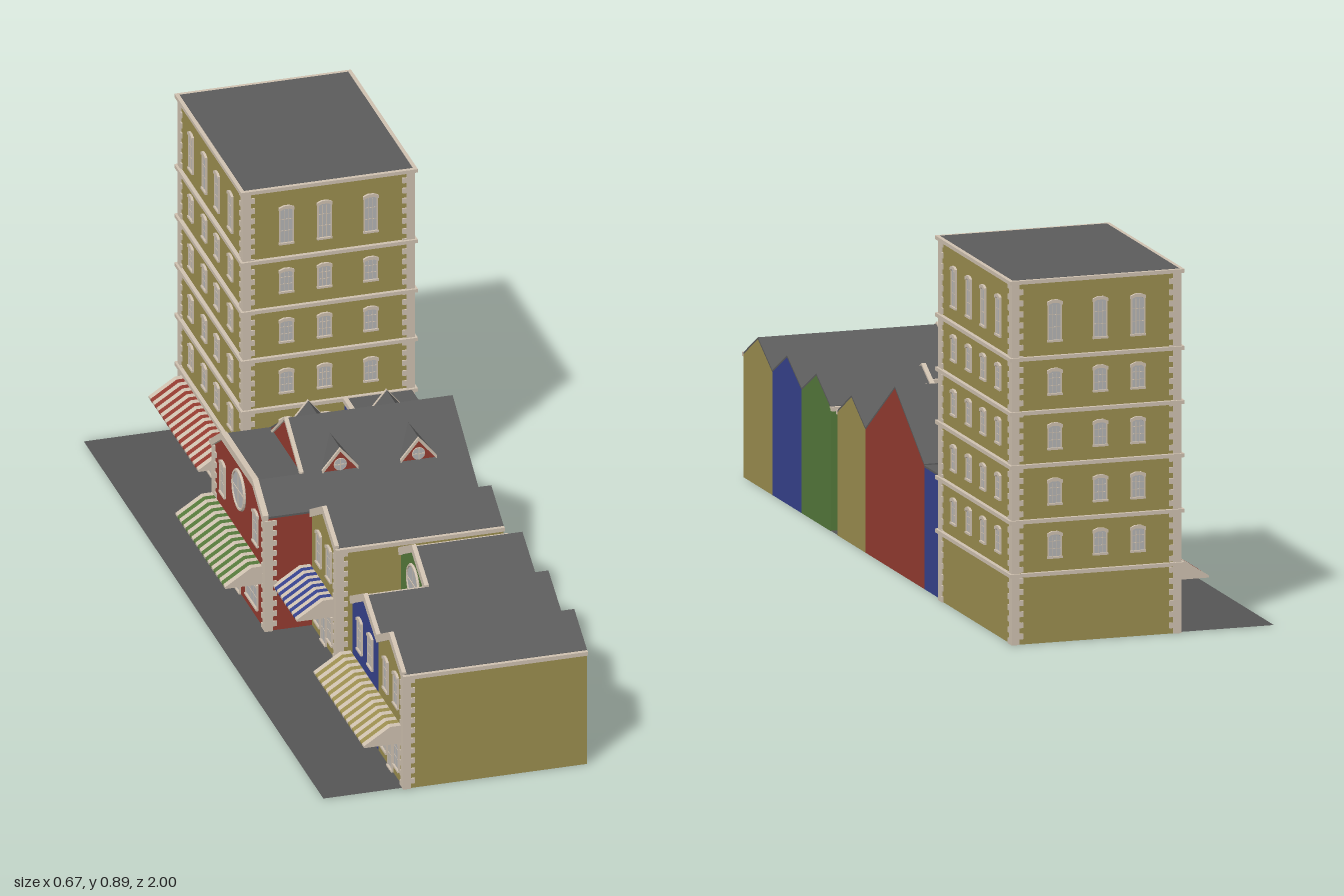
import * as THREE from 'three';

const mat = (color) => new THREE.MeshStandardMaterial({ color, flatShading: true });
const M = {
  yellow: mat(0x9b8e4f), red: mat(0x943b30), blue: mat(0x36428c), green: mat(0x55793b),
  cream: mat(0xcfc1b0), roof: mat(0x5c5c5c), glass: mat(0xb4b4b4), ground: mat(0x555555),
};
M.ground.side = THREE.DoubleSide;

const add = (parent, name, geometry, material) => {
  const mesh = new THREE.Mesh(geometry, material);
  mesh.name = name;
  parent.add(mesh);
  return mesh;
};

// box given by its two corners
function block(parent, name, material, [x0, y0, z0], [x1, y1, z1]) {
  const g = new THREE.BoxGeometry(x1 - x0, y1 - y0, z1 - z0);
  g.translate((x0 + x1) / 2, (y0 + y1) / 2, (z0 + z1) / 2);
  return add(parent, name, g, material);
}
const polygon = (pts) => new THREE.Shape(pts.map(([x, y]) => new THREE.Vector2(x, y)));
const extrude = (shape, depth) =>
  new THREE.ExtrudeGeometry(shape, { depth, bevelEnabled: false, curveSegments: 8 });

// profile in (z, y) swept from x0 to x1
function prism(parent, name, material, pts, x0, x1) {
  const g = extrude(polygon(pts.map(([z, y]) => [-z, y])), x1 - x0);
  g.rotateY(Math.PI / 2).translate(x0, 0, 0);
  return add(parent, name, g, material);
}
// strip that follows a line of points, from lo to hi above it
const strip = (pts, lo, hi) => [
  ...pts.map(([a, y]) => [a, y + hi]),
  ...pts.slice().reverse().map(([a, y]) => [a, y + lo]),
];

// opening with a flat arch, facing +z, standing on the local origin
function archShape(w, h, rise) {
  const s = new THREE.Shape();
  s.moveTo(-w / 2, 0);
  s.lineTo(w / 2, 0);
  s.lineTo(w / 2, h - rise);
  s.quadraticCurveTo(0, h + rise, -w / 2, h - rise);
  return s;
}
function archedWindow(w, h, name = 'window') {
  const g = new THREE.Group(), rise = w * 0.22;
  g.name = name;
  add(g, 'pane', extrude(archShape(w, h, rise), 0.001), M.glass);
  const rim = archShape(w + 0.006, h + 0.003, rise);
  rim.holes.push(archShape(w, h, rise));
  add(g, 'frame', extrude(rim, 0.004), M.cream);
  for (const t of [-1, 1]) block(g, 'glazingBar', M.cream, [t * w / 6 - 0.0006, 0, 0], [t * w / 6 + 0.0006, h - rise, 0.002]);
  for (const t of [0.33, 0.66]) block(g, 'glazingBar', M.cream, [-w / 2, h * t, 0], [w / 2, h * t + 0.0012, 0.002]);
  block(g, 'sill', M.cream, [-w / 2 - 0.004, -0.005, 0], [w / 2 + 0.004, 0, 0.006]);
  const e = w / 2 + 0.004;
  const hood = strip([[-e, h - rise], [-w / 4, h - rise * 0.25], [w / 4, h - rise * 0.25], [e, h - rise]], 0, 0.008);
  add(g, 'hood', extrude(polygon(hood.reverse()), 0.006), M.cream);
  return g;
}
function roundWindow(r) {
  const g = new THREE.Group();
  g.name = 'roundWindow';
  add(g, 'pane', new THREE.CylinderGeometry(r, r, 0.003, 24).rotateX(Math.PI / 2), M.glass);
  add(g, 'ring', new THREE.TorusGeometry(r, r * 0.1, 6, 24), M.cream);
  block(g, 'glazingBar', M.cream, [-r, -0.0012, 0], [r, 0.0012, 0.003]);
  block(g, 'glazingBar', M.cream, [-0.0012, -r, 0], [0.0012, r, 0.003]);
  return g;
}
function place(parent, part, x, y, z, turn) {
  part.position.set(x, y, z);
  part.rotation.y = turn;
  parent.add(part);
}
const STREET = -Math.PI / 2, REAR = Math.PI / 2;

// alternating corner stones; sx and sz point from the corner into the walls
function quoins(parent, x, z, sx, sz, height) {
  const n = Math.round(height / 0.0135), step = height / n, out = 0.004;
  for (let i = 0; i < n; i++) {
    const lx = i % 2 ? 0.03 : 0.02, lz = i % 2 ? 0.02 : 0.03;
    const stone = add(parent, 'cornerStone', new THREE.BoxGeometry(lx, step, lz), M.cream);
    stone.position.set(x + sx * (lx / 2 - out), step * (i + 0.5), z + sz * (lz / 2 - out));
  }
}

// striped shop awning on a street wall at x
function awning(parent, x, z0, z1, material) {
  const g = new THREE.Group();
  g.name = 'awning';
  parent.add(g);
  const section = polygon([[0, 0.165], [-0.027, 0.165], [-0.092, 0.123], [-0.092, 0.118], [0, 0.118]].reverse());
  const n = 2 * Math.round((z1 - z0) / 0.034) + 1, d = (z1 - z0) / n;
  for (let i = 0; i < n; i++) {
    const s = add(g, 'awningStripe', extrude(section, d), i % 2 ? material : M.cream);
    s.position.set(x, 0, z0 + i * d);
  }
}
// door between two shop windows
function shopFront(parent, x, z0, z1) {
  const w = z1 - z0, mid = (z0 + z1) / 2;
  place(parent, archedWindow(0.035, 0.1, 'door'), x, 0.005, mid, STREET);
  for (const s of [-1, 1]) place(parent, archedWindow(w * 0.22, 0.075, 'shopWindow'), x, 0.03, mid + s * w * 0.28, STREET);
}

// row house with its gable to the street
function house(parent, name, material, x, z0, z1) {
  const g = new THREE.Group(), mid = (z0 + z1) / 2;
  g.name = name;
  parent.add(g);
  const top = [[z0, 0.3], [mid, 0.358], [z1, 0.3]];
  prism(g, 'walls', material, [[z1, 0], ...top.slice().reverse(), [z0, 0]], x, 0.32);
  prism(g, 'roof', M.roof, strip(top, 0, 0.005), x, 0.32);
  prism(g, 'gableCoping', M.cream, strip(top, -0.01, 0.011), x - 0.006, x + 0.005);
  return g;
}
const eave = (g, x0, x1, z) => block(g, 'eaveTrim', M.cream, [x0, 0.294, z - 0.01], [x1, 0.304, z + 0.01]);
const upperWindows = (g, x, z0, z1) => [0.3, 0.7].forEach((t) =>
  place(g, archedWindow(0.034, 0.08), x, 0.195, z0 + (z1 - z0) * t, STREET));

function tower(parent) {
  const g = new THREE.Group();
  g.name = 'tower';
  parent.add(g);
  const [x0, x1, z0, z1] = [-0.095, 0.325, -0.99, -0.46];
  block(g, 'walls', M.yellow, [x0, 0, z0], [x1, 0.88, z1]);
  for (const y of [0.17, 0.3, 0.435, 0.565, 0.697, 0.885])
    block(g, 'stringCourse', M.cream, [x0 - 0.01, y - 0.005, z0 - 0.01], [x1 + 0.01, y + 0.004, z1 + 0.01]);
  block(g, 'flatRoof', M.roof, [x0, 0.88, z0], [x1, 0.8895, z1]);
  for (const [x, sx] of [[x0, 1], [x1, -1]]) for (const [z, sz] of [[z0, 1], [z1, -1]]) quoins(g, x, z, sx, sz, 0.88);
  for (const [y, h] of [[0.21, 0.055], [0.34, 0.055], [0.475, 0.055], [0.608, 0.055], [0.738, 0.092]]) {
    for (const x of [0.01, 0.105, 0.22]) {
      place(g, archedWindow(0.03, h), x, y, z1, 0);
      place(g, archedWindow(0.03, h), x, y, z0, Math.PI);
    }
    for (const z of [-0.565, -0.675, -0.78, -0.89]) {
      place(g, archedWindow(0.03, h), x1, y, z, REAR);
      place(g, archedWindow(0.03, h), x0, y, z, STREET);
    }
  }
  shopFront(g, x0, -0.94, -0.53);
  awning(g, x0, -0.94, -0.53, M.red);
}

function hall(parent) {
  const g = new THREE.Group();
  g.name = 'redHall';
  parent.add(g);
  const [z0, z1, mid] = [-0.33, 0.1, -0.115];
  const high = [[z0, 0.3], [mid, 0.445], [z1, 0.3]];
  const low = [[z0, 0.3], [-0.244, 0.358], [0.014, 0.358], [z1, 0.3]];
  for (const [top, a, b] of [[high, -0.095, 0.32], [low, -0.21, -0.095]]) {
    prism(g, 'walls', M.red, [[z1, 0], ...top.slice().reverse(), [z0, 0]], a, b);
    prism(g, 'roof', M.roof, strip(top, 0, 0.005), a, b);
  }
  prism(g, 'frontCoping', M.cream, strip(low, -0.01, 0.009), -0.218, -0.203);
  prism(g, 'upperCoping', M.cream, strip([[-0.244, 0.338], [mid, 0.445], [0.014, 0.358]], 0, 0.009), -0.1, -0.09);
  eave(g, -0.218, 0.155, z0);
  quoins(g, -0.21, z0, 1, 1, 0.295);
  quoins(g, -0.21, z1, 1, -1, 0.295);
  place(g, roundWindow(0.048), -0.212, 0.275, mid, STREET);
  for (const z of [-0.25, 0.02]) place(g, archedWindow(0.036, 0.08), -0.21, 0.2, z, STREET);
  place(g, archedWindow(0.036, 0.1, 'sideDoor'), -0.08, 0.015, z0, Math.PI);
  shopFront(g, -0.21, z0, 0.08);
  awning(g, -0.213, z0, 0.08, M.green);
  // two dormers on each slope
  for (const x of [0, 0.195]) for (const s of [-1, 1]) {
    const d = new THREE.Group();
    d.name = 'dormer';
    const line = [[-0.045, 0], [0, 0.054], [0.045, 0]];
    add(d, 'dormerFace', extrude(polygon([[-0.045, -0.01], [0.045, -0.01], ...line.slice().reverse()]), 0.09), M.red);
    add(d, 'dormerRoof', extrude(polygon(strip(line, 0, 0.004).reverse()), 0.09), M.roof);
    add(d, 'dormerTrim', extrude(polygon(strip(line, -0.004, 0.006).reverse()), 0.006), M.cream).position.z = 0.087;
    place(d, roundWindow(0.015), 0, 0.016, 0.091, 0);
    place(g, d, x, 0.361, mid + s * 0.042, s > 0 ? 0 : Math.PI);
  }
}

export function createModel() {
  const model = new THREE.Group();
  model.name = 'streetRow';
  const ground = add(model, 'pavement', new THREE.PlaneGeometry(0.655, 1.97).rotateX(-Math.PI / 2), M.ground);
  ground.position.set(-0.0075, 0.001, 0);

  tower(model);
  hall(model);

  // low flat-roofed link beside the tower
  block(model, 'linkWalls', M.blue, [0.155, 0, -0.46], [0.32, 0.297, -0.33]);
  block(model, 'linkRoof', M.roof, [0.155, 0.297, -0.46], [0.32, 0.302, -0.33]);
  block(model, 'linkCoping', M.cream, [0.148, 0.293, -0.45], [0.16, 0.305, -0.33]);
  place(model, archedWindow(0.034, 0.08), 0.155, 0.195, -0.395, STREET);
  place(model, archedWindow(0.036, 0.1, 'door'), 0.155, 0.005, -0.395, STREET);

  const a = house(model, 'yellowEndHouse', M.yellow, -0.135, 0.78, 0.99);
  upperWindows(a, -0.135, 0.78, 0.99);
  quoins(a, -0.135, 0.99, 1, -1, 0.295);
  eave(a, -0.14, 0.32, 0.99);
  shopFront(a, -0.135, 0.79, 0.97);

  const b = house(model, 'blueHouse', M.blue, -0.135, 0.565, 0.78);
  upperWindows(b, -0.135, 0.565, 0.78);
  eave(b, -0.14, 0.05, 0.565);
  shopFront(b, -0.135, 0.58, 0.77);
  awning(model, -0.14, 0.565, 0.98, M.yellow);

  const c = house(model, 'greenHouse', M.green, 0.05, 0.353, 0.565);
  place(c, roundWindow(0.045), 0.048, 0.265, 0.459, STREET);
  eave(c, 0.045, 0.32, 0.353);
  shopFront(c, 0.05, 0.36, 0.55);
  awning(c, 0.05, 0.353, 0.55, M.red);

  const d = house(model, 'yellowMiddleHouse', M.yellow, -0.095, 0.1, 0.305);
  upperWindows(d, -0.095, 0.1, 0.305);
  quoins(d, -0.095, 0.305, 1, -1, 0.295);
  eave(d, -0.1, 0.32, 0.305);
  shopFront(d, -0.095, 0.11, 0.29);
  awning(d, -0.1, 0.1, 0.295, M.blue);
  return model;
}
